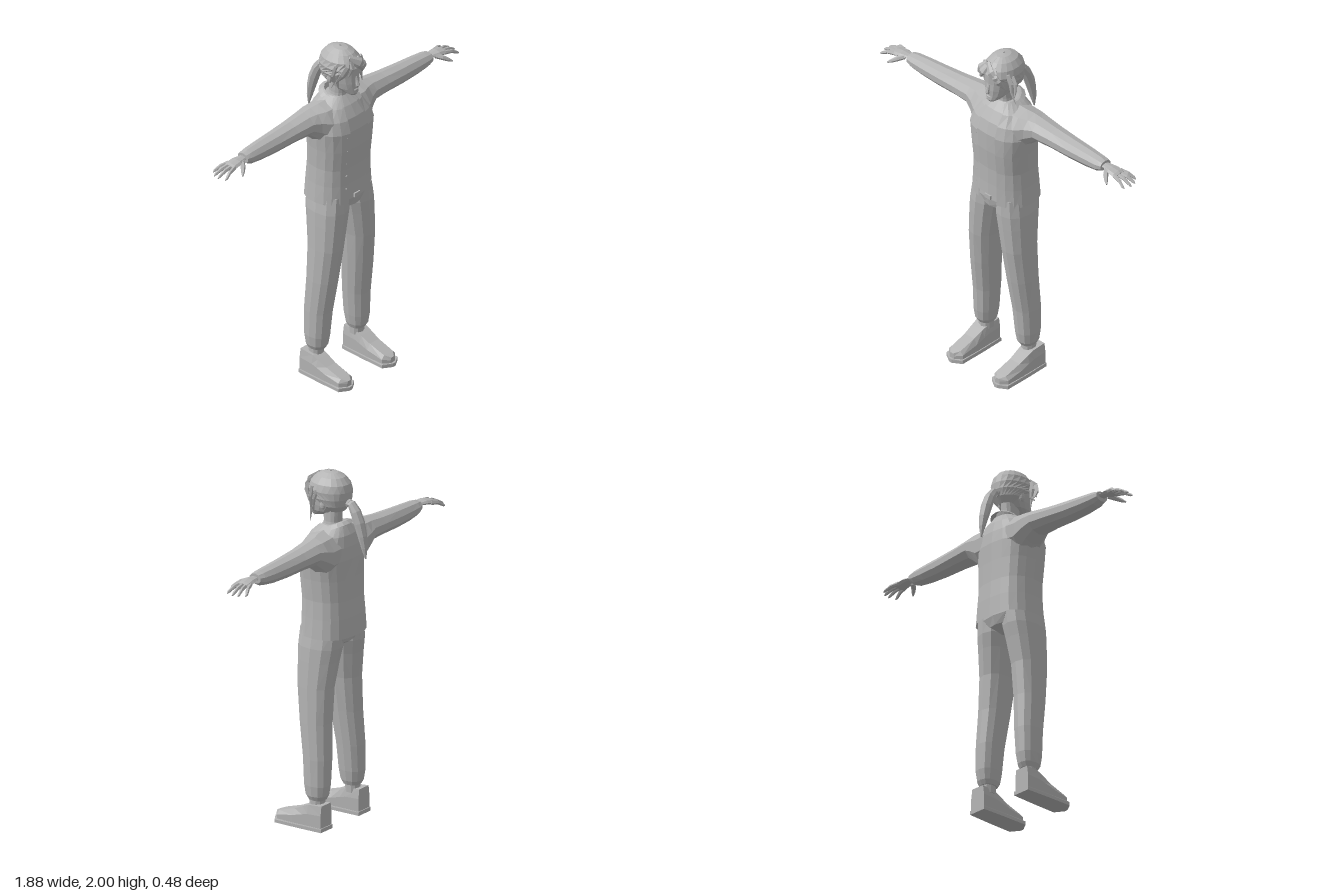
import * as THREE from 'three';

const grey = new THREE.MeshStandardMaterial({ color: 0xb4b4b4, flatShading: true, side: THREE.DoubleSide });
grey.name = 'plain grey';

const V = (x, y, z) => new THREE.Vector3(x, y, z);

// Skin over a list of rings, each turning right-handed about the loft direction
function loft(rings, { open = false, caps = true } = {}) {
  const n = rings[0].length, pos = [], idx = [];
  rings.forEach(r => r.forEach(p => pos.push(p.x, p.y, p.z)));
  for (let i = 0; i < rings.length - 1; i++) {
    for (let j = 0; j < (open ? n - 1 : n); j++) {
      const a = i * n + j, b = i * n + (j + 1) % n;
      idx.push(a, b, b + n, a, b + n, a + n);
    }
  }
  if (caps && !open) {
    [0, rings.length - 1].forEach(k => {
      const c = pos.length / 3, m = V(0, 0, 0);
      rings[k].forEach(p => m.addScaledVector(p, 1 / n));
      pos.push(m.x, m.y, m.z);
      for (let j = 0; j < n; j++) {
        const a = k * n + j, b = k * n + (j + 1) % n;
        k ? idx.push(c, a, b) : idx.push(c, b, a);
      }
    });
  }
  const g = new THREE.BufferGeometry();
  g.setAttribute('position', new THREE.Float32BufferAttribute(pos, 3));
  g.setIndex(idx);
  g.computeVertexNormals();
  return g;
}

// Level ring: front at angle 0, turning to +x; "power" below 1 makes it boxier
function ring(y, cx, rx, zf, zb, { n = 14, power = 0.85, gap = 0, tilt = 0 } = {}) {
  const bend = v => Math.sign(v) * Math.abs(v) ** power;
  const steps = gap ? n - 1 : n, cz = (zf + zb) / 2, rz = (zf - zb) / 2;
  return Array.from({ length: n }, (_, j) => {
    const a = gap + (2 * Math.PI - 2 * gap) * j / steps;
    const z = cz + rz * bend(Math.cos(a));
    return V(cx + rx * bend(Math.sin(a)), y - tilt * z, z);
  });
}

// Tapered limb or lock of hair along a few points
function strand(points, radii, { flat = 1, n = 6, ref = V(0, 1, 0) } = {}) {
  const p = points.map(q => V(...q));
  return loft(p.map((c, i) => {
    const t = p[Math.min(i + 1, p.length - 1)].clone().sub(p[Math.max(i - 1, 0)]).normalize();
    const s = ref.clone().cross(t).normalize(), u = t.clone().cross(s);
    return Array.from({ length: n }, (_, j) => {
      const a = 2 * Math.PI * j / n;
      return c.clone().addScaledVector(s, radii[i] * Math.cos(a)).addScaledVector(u, radii[i] * flat * Math.sin(a));
    });
  }));
}

function mirrored(geo) {
  const g = geo.clone().scale(-1, 1, 1), order = Array.from(g.index.array);
  for (let i = 0; i < order.length; i += 3) [order[i], order[i + 1]] = [order[i + 1], order[i]];
  g.setIndex(order);
  g.computeVertexNormals();
  return g;
}

export function createModel() {
  const model = new THREE.Group();
  model.name = 'standingFigure';
  const add = (name, geo, parent = model) => {
    const m = new THREE.Mesh(geo, grey);
    m.name = name;
    parent.add(m);
    return m;
  };
  const pair = (name, geo) => {
    add('left' + name, geo);
    add('right' + name, mirrored(geo));
  };

  // Jacket body, open down the front, over a closed shirt
  const torso = [
    [1.09, 0.192, 0.133, -0.172], [1.2, 0.183, 0.131, -0.167], [1.3, 0.178, 0.132, -0.159],
    [1.42, 0.184, 0.143, -0.156], [1.53, 0.195, 0.145, -0.155], [1.6, 0.18, 0.125, -0.147],
    [1.66, 0.138, 0.088, -0.132], [1.705, 0.075, 0.045, -0.105]];
  const power = 0.8;
  add('jacketBody', loft(torso.map(([y, rx, zf, zb]) =>
    ring(y, 0, rx, zf, zb, { n: 19, power, gap: Math.asin((Math.min(0.068, rx * 0.55) / rx) ** (1 / power)) })), { open: true }));
  add('shirt', loft(torso.map(([y, rx, zf, zb], i) =>
    ring(i ? y : 1.13, 0, rx - 0.012, zf - 0.01, zb + 0.012, { n: 20, power }))));
  for (let i = 0; i < 5; i++) {
    const b = add('jacketButton', new THREE.CylinderGeometry(0.005, 0.005, 0.006, 6).rotateX(Math.PI / 2));
    b.position.set(-0.083, 1.18 + i * 0.08, i > 2 ? 0.132 : 0.122);
  }

  // Folded collar, high at the nape and low at the front
  add('collar', loft([[1.665, 0.062, 0.045, -0.085], [1.695, 0.068, 0.062, -0.095],
    [1.69, 0.078, 0.08, -0.105], [1.668, 0.1, 0.1, -0.125]].map(([y, rx, zf, zb]) =>
    ring(y, 0, rx, zf, zb, { n: 15, power: 0.9, gap: 0.5, tilt: 0.42 })), { open: true }));

  // Sleeves: x, bottom, top, back, front
  const sleeve = [
    [0.09, 1.44, 1.69, -0.145, 0.1], [0.15, 1.44, 1.685, -0.142, 0.09], [0.2, 1.49, 1.677, -0.135, 0.06],
    [0.25, 1.532, 1.669, -0.122, 0.042], [0.36, 1.535, 1.655, -0.112, 0.03], [0.5, 1.532, 1.645, -0.102, 0.022],
    [0.62, 1.537, 1.638, -0.094, 0.016], [0.7, 1.548, 1.632, -0.086, 0.012], [0.735, 1.567, 1.625, -0.075, 0.006]];
  pair('Sleeve', loft(sleeve.map(([x, y0, y1, z0, z1]) => Array.from({ length: 10 }, (_, j) => {
    const a = 2 * Math.PI * j / 10;
    return V(x, (y0 + y1) / 2 + (y1 - y0) / 2 * Math.cos(a), (z0 + z1) / 2 + (z1 - z0) / 2 * Math.sin(a));
  }))));

  // Hands with spread, drooping fingers
  pair('Palm', strand([[0.72, 1.598, -0.034], [0.75, 1.6, -0.034], [0.79, 1.598, -0.032], [0.83, 1.59, -0.034],
    [0.846, 1.587, -0.034]], [0.025, 0.028, 0.04, 0.043, 0.034], { flat: 0.4, n: 8 }));
  const fingers = [
    ['LittleFinger', [0.82, -0.066], [0.905, -0.096]], ['RingFinger', [0.83, -0.048], [0.932, -0.064]],
    ['MiddleFinger', [0.83, -0.027], [0.937, -0.03]], ['IndexFinger', [0.83, -0.006], [0.925, 0.012]]];
  for (const [name, [x0, z0], [x1, z1]] of fingers) {
    pair(name, strand([[x0, 1.59, z0], [(x0 + x1) / 2, 1.582, (z0 + z1) / 2], [x1 - 0.012, 1.562, z1], [x1, 1.556, z1]],
      [0.012, 0.011, 0.008, 0.003]));
  }
  pair('Thumb', strand([[0.765, 1.595, -0.015], [0.79, 1.585, 0.018], [0.815, 1.57, 0.04], [0.832, 1.56, 0.054]],
    [0.014, 0.014, 0.01, 0.004]));

  // Trousers
  add('trouserSeat', loft([ring(1.015, 0, 0.035, 0.05, -0.075), ring(1.05, 0, 0.11, 0.112, -0.13),
    ring(1.1, 0, 0.175, 0.122, -0.145), ring(1.17, 0, 0.165, 0.118, -0.14)]));
  add('buckle', new THREE.BoxGeometry(0.045, 0.025, 0.012)).position.set(0, 1.115, 0.122);
  const leg = [
    [0.165, 0.157, 0.044, 0.022, -0.077], [0.19, 0.158, 0.055, 0.037, -0.09], [0.25, 0.157, 0.063, 0.047, -0.1],
    [0.4, 0.15, 0.07, 0.057, -0.102], [0.6, 0.138, 0.077, 0.086, -0.093], [0.8, 0.124, 0.083, 0.11, -0.096],
    [0.95, 0.108, 0.092, 0.118, -0.117], [1.03, 0.098, 0.098, 0.121, -0.131], [1.13, 0.09, 0.09, 0.116, -0.135]];
  pair('TrouserLeg', loft(leg.map(([y, cx, rx, zf, zb]) => ring(y, cx, rx, zf, zb, { n: 12 }))));
  pair('Ankle', loft([0.12, 0.18].map(y => ring(y, 0.16, 0.04, 0.012, -0.07, { n: 10 }))));

  // Shoes: z, half width, top, half width of the top
  const shoePart = (rows, base, shoulder) => loft(rows.map(([z, w, h, t]) => {
    const m = base + (h - base) * shoulder;
    return [[w, base], [w, m], [t, h], [-t, h], [-w, m], [-w, base]].map(([x, y]) => V(0.172 + x, y, z));
  }));
  pair('ShoeUpper', shoePart([[-0.095, 0.05, 0.148, 0.042], [-0.005, 0.052, 0.14, 0.042], [0.03, 0.053, 0.125, 0.04],
    [0.09, 0.055, 0.098, 0.036], [0.195, 0.053, 0.066, 0.034], [0.226, 0.016, 0.055, 0.01]], 0.015, 0.6));
  pair('ShoeSole', shoePart([[-0.1, 0.054, 0.022, 0.053], [0.05, 0.06, 0.022, 0.059], [0.205, 0.062, 0.022, 0.06],
    [0.238, 0.01, 0.022, 0.009]], 0, 0.8));

  // Neck, head and face
  add('neck', loft([ring(1.66, 0, 0.055, 0.04, -0.08), ring(1.72, 0, 0.045, 0.035, -0.065), ring(1.8, 0, 0.045, 0.04, -0.07)]));
  const head = [[1.735, 0.02, 0.112, 0.07], [1.748, 0.04, 0.12, 0.02], [1.775, 0.062, 0.118, -0.04],
    [1.81, 0.073, 0.12, -0.08], [1.85, 0.08, 0.118, -0.095], [1.9, 0.082, 0.12, -0.1], [1.95, 0.065, 0.09, -0.08]];
  add('head', loft(head.map(([y, rx, zf, zb]) => ring(y, 0, rx, zf, zb, { n: 16, power: 0.95 }))));
  add('nose', strand([[0, 1.85, 0.114], [0, 1.825, 0.122], [0, 1.803, 0.13], [0, 1.793, 0.118]],
    [0.007, 0.009, 0.012, 0.008], { ref: V(1, 0, 0) }));
  add('mouth', new THREE.SphereGeometry(1, 8, 6).scale(0.018, 0.006, 0.006)).position.set(0, 1.77, 0.118);
  pair('Ear', new THREE.SphereGeometry(1, 8, 6).scale(0.012, 0.028, 0.018).translate(0.082, 1.825, -0.005));

  // Hair cap, cut away around the face
  const hair = [[1.785, 0.055, 0.02, -0.088, 1.7], [1.82, 0.085, 0.06, -0.112, 1.55], [1.86, 0.1, 0.115, -0.124, 1.15],
    [1.9, 0.104, 0.128, -0.125, 0.45], [1.94, 0.094, 0.115, -0.115, 0.02], [1.975, 0.068, 0.082, -0.085, 0.02],
    [1.994, 0.035, 0.045, -0.045, 0.02], [2, 0.004, 0.006, -0.006, 0.02]];
  add('hairCap', loft(hair.map(([y, rx, zf, zb, gap]) => ring(y, 0, rx, zf, zb, { n: 19, power: 0.95, gap })), { open: true }));

  // Swept fringe and loose locks at the temples
  const out = V(0, 0, 1);
  const locks = [
    [[[-0.03, 1.96, 0.09], [0.02, 1.93, 0.122], [0.065, 1.885, 0.11], [0.09, 1.835, 0.08]], [0.02, 0.03, 0.026, 0.006]],
    [[[-0.03, 1.96, 0.09], [-0.055, 1.925, 0.112], [-0.083, 1.88, 0.095], [-0.1, 1.835, 0.065]], [0.02, 0.03, 0.026, 0.006]],
    [[[-0.03, 1.95, 0.1], [-0.04, 1.915, 0.126], [-0.065, 1.87, 0.118]], [0.02, 0.022, 0.004]],
    [[[0.02, 1.95, 0.1], [0.05, 1.91, 0.122], [0.075, 1.86, 0.105]], [0.02, 0.022, 0.004]],
    [[[0.085, 1.92, 0.06], [0.108, 1.87, 0.055], [0.108, 1.81, 0.05], [0.122, 1.765, 0.045], [0.13, 1.74, 0.04]], [0.02, 0.02, 0.012, 0.006, 0.002]],
    [[[0.09, 1.9, 0.03], [0.115, 1.86, 0.03], [0.118, 1.82, 0.03], [0.11, 1.77, 0.03]], [0.02, 0.016, 0.01, 0.002]],
    [[[-0.085, 1.92, 0.05], [-0.107, 1.87, 0.045], [-0.1, 1.83, 0.045], [-0.125, 1.805, 0.05]], [0.02, 0.02, 0.012, 0.002]],
    [[[-0.09, 1.88, 0.06], [-0.088, 1.83, 0.06], [-0.078, 1.78, 0.06]], [0.018, 0.012, 0.002]]];
  locks.forEach(([pts, radii]) => add('hairLock', strand(pts, radii, { flat: 0.5, ref: out })));

  // Ponytail
  add('hairTie', strand([[0, 1.845, -0.1], [0, 1.835, -0.128]], [0.024, 0.024], { n: 8, ref: V(1, 0, 0) }));
  add('ponytail', strand([[0, 1.84, -0.108], [0, 1.835, -0.14], [0, 1.795, -0.168], [0, 1.735, -0.193],
    [0, 1.665, -0.213], [0, 1.6, -0.226], [0, 1.54, -0.234]],
  [0.018, 0.024, 0.03, 0.031, 0.026, 0.017, 0.004], { n: 8, ref: V(1, 0, 0) }));

  return model;
}
